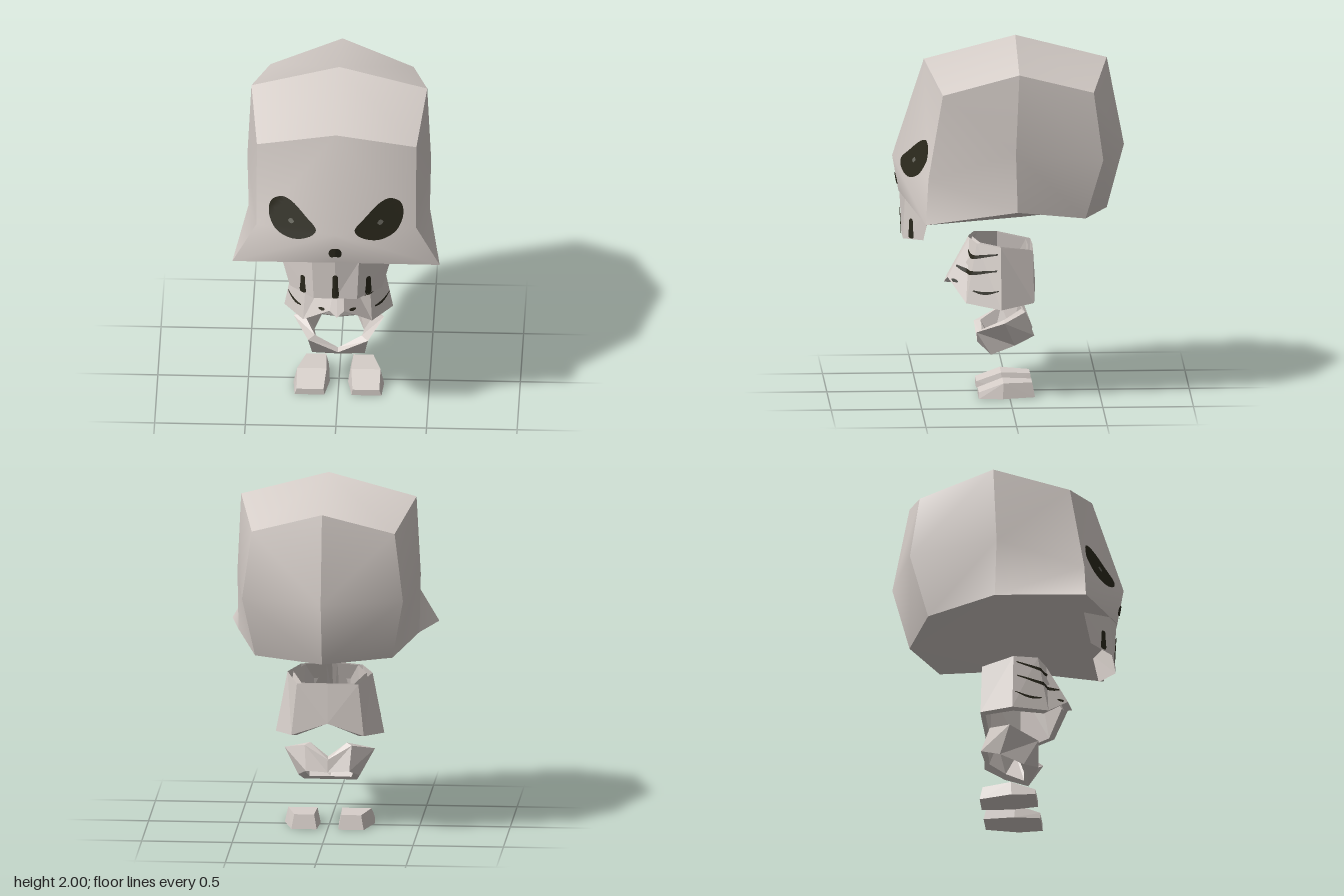
import * as THREE from 'three';
import { ConvexGeometry } from 'three/addons/geometries/ConvexGeometry.js';

const mat = (name, color) => {
  const m = new THREE.MeshStandardMaterial({ color, side: THREE.DoubleSide });
  m.name = name;
  return m;
};
const mirror = ([x, y, z]) => [-x, y, z];

// Sheet through rows of points; diagonals are symmetric about the middle column
function sheet(rows, { flip = false, flat = false } = {}) {
  const n = rows[0].length, index = [];
  for (let i = 0; i < rows.length - 1; i++) {
    for (let j = 0; j < n - 1; j++) {
      const a = i * n + j, b = a + 1, c = a + n, d = c + 1;
      if ((j < (n - 1) / 2) !== flip) index.push(a, c, d, a, d, b);
      else index.push(a, c, b, b, c, d);
    }
  }
  let g = new THREE.BufferGeometry();
  g.setAttribute('position', new THREE.Float32BufferAttribute(rows.flat(2), 3));
  g.setIndex(index);
  if (flat) g = g.toNonIndexed();
  g.computeVertexNormals();
  return g;
}

// Row from right corner over the middle to left corner
const across = (side, mid) => [mirror(side), mid, side];
// Closed ring from a half that runs from the front centre to the back centre
const ring = (half) => [...half, ...half.slice(0, -1).reverse().map(mirror)];
const shrink = (loop, s, dz, dy = 0) => loop.map(([x, y, z]) => [x * s, y + dy, dz + (z - dz) * s]);

export function createModel() {
  const model = new THREE.Group();
  const bone = mat('bone', 0xd6cec9);
  const dark = mat('darkHollow', 0x2a281c);
  const grey = mat('greyPupil', 0x66655c);
  const add = (name, geometry, material = bone, parent = model) => {
    const mesh = new THREE.Mesh(geometry, material);
    mesh.name = name;
    parent.add(mesh);
    return mesh;
  };

  // Skull corners: top, middle and bottom levels
  const top = { fc: [.44, 1.75, .38], f: [0, 1.87, .465], s: [.485, 1.87, -.04], bc: [.395, 1.75, -.455], b: [0, 1.87, -.545] };
  const mid = { fc: [.44, 1.28, .46], f: [0, 1.33, .64], s: [.507, 1.43, -.02], bc: [.445, 1.38, -.505], b: [0, 1.38, -.64] };
  const low = { fc: [.572, 1.05, .48], f: [0, 1.13, .605], s: [.5, 1.1, -.03], bc: [.38, 1.04, -.41], b: [0, 1.025, -.545] };
  const levels = [top, mid, low];
  const crown = [0, 2, -.04], base = [0, .975, -.08];

  const skull = new THREE.Group();
  skull.name = 'skull';
  model.add(skull);
  const face = add('face', sheet(levels.map((l) => across(l.fc, l.f)), { flip: true }), bone, skull);
  add('crownFront', sheet([across(top.fc, top.f), across(top.s, crown)]), bone, skull);
  add('crownBack', sheet([across(top.s, crown), across(top.bc, top.b)], { flip: true }), bone, skull);
  add('skullBase', sheet([across(low.fc, low.f), across(low.s, base), across(low.bc, low.b)], { flat: true }), bone, skull);
  for (const [side, m] of [['left', (p) => p], ['right', mirror]]) {
    add(side + 'Temple', sheet(levels.map((l) => [m(l.fc), m(l.s)])), bone, skull);
    add(side + 'RearSide', sheet(levels.map((l) => [m(l.s), m(l.bc)])), bone, skull);
    add(side + 'Back', sheet(levels.map((l) => [m(l.bc), m(l.b)])), bone, skull);
  }

  // Upper teeth plate
  const arc = (half) => [...half.slice(1).reverse().map(mirror), ...half];
  const teeth = add('teeth', sheet([
    arc([[0, 1.13, .6], [.13, 1.12, .575], [.31, 1.09, .44]]),
    arc([[0, .885, .587], [.12, .885, .585], [.255, .9, .48]]),
  ], { flat: true }));

  // Rib cage: outer wall, thick rim, inner wall
  const chestTop = ring([[0, .868, .22], [.17, .863, .18], [.235, .848, .05], [.17, .82, -.13], [0, .82, -.135]]);
  const chestLow = ring([[0, .615, .355], [.04, .648, .335], [.19, .53, .24], [.3, .51, .05], [.2, .53, -.135], [0, .6, -.15]]);
  chestTop.splice(1, 0, [.035, .868, .215]);
  chestTop.splice(-1, 0, [-.035, .868, .215]);
  const chest = add('ribCage', sheet([
    chestTop, chestLow, shrink(chestLow, .86, .05, -.005), shrink(chestTop, .86, .05),
  ], { flat: true }));

  // Pelvis: open bowl with a thick rim
  const hipTop = ring([[0, .275, .17], [.165, .36, .182], [.25, .425, .03], [.13, .465, -.09], [0, .39, -.12]]);
  const hipLow = ring([[0, .23, .11], [.145, .23, .1], [.17, .285, -.03], [.12, .33, -.14], [0, .32, -.13]]);
  const hipIn = shrink(hipTop, .78, .02, .012), hipInLow = shrink(hipLow, .8, .0, .02);
  add('pelvis', sheet([hipTop, hipLow, hipInLow, hipIn, hipTop], { flat: true }));

  // Feet: outlines at heel, instep and toe
  const footPoints = [
    [.06, 0, -.14], [.2, 0, -.14], [.075, .08, -.125], [.185, .08, -.125],
    [.05, 0, .03], [.25, 0, .04], [.068, .085, .035], [.23, .085, .035],
    [.075, 0, .172], [.24, 0, .172], [.08, .035, .172], [.228, .035, .172],
  ];
  for (const [name, s] of [['leftFoot', 1], ['rightFoot', -1]]) {
    add(name, new ConvexGeometry(footPoints.map(([x, y, z]) => new THREE.Vector3(s * x, y, z))));
  }

  // Painted details are laid on a part from the front
  model.updateMatrixWorld(true);
  const caster = new THREE.Raycaster();
  const lay = (target, lift) => ([x, y]) => {
    caster.set(new THREE.Vector3(x + 1e-4, y, 3), new THREE.Vector3(0, 0, -1));
    const hit = caster.intersectObject(target)[0];
    if (!hit) return [x, y, .3];
    const n = hit.face.normal.clone();
    if (n.z < 0) n.negate();
    return hit.point.addScaledVector(n, lift).toArray();
  };
  const spot = (name, target, outline, material = dark, lift = .005) => {
    const curve = new THREE.CatmullRomCurve3(outline.map(([x, y]) => new THREE.Vector3(x, y, 0)), true);
    const edge = curve.getPoints(40);
    const c = edge.reduce((s, p) => s.add(p), new THREE.Vector3()).divideScalar(edge.length);
    const rows = [];
    for (let i = 0; i <= 8; i++) {
      rows.push(edge.map((p) => c.clone().lerp(p, i / 8 + 1e-3 * (i === 0))).map((p) => lay(target, lift)([p.x, p.y])));
    }
    add(name, sheet(rows), material);
  };
  const stripe = (name, target, points, half) => {
    const line = new THREE.CatmullRomCurve3(points.map(([x, y]) => new THREE.Vector3(x, y, 0))).getPoints(20);
    const rows = [half, -half].map((h) => line.map((p, i) =>
      lay(target, .005)([p.x, p.y + h * (.35 + .65 * Math.sin(Math.PI * i / 20))])));
    add(name, sheet(rows), dark);
  };

  const eye = [[.105, 1.335], [.13, 1.295], [.235, 1.256], [.33, 1.285], [.37, 1.37], [.355, 1.44], [.3, 1.47], [.245, 1.458], [.16, 1.39]];
  const pupil = [[.227, 1.35], [.243, 1.336], [.26, 1.35], [.243, 1.365]];
  const slit = (x, y0, y1, w) => [[x - w, y0], [x + w, y0], [x + w, (y0 + y1) / 2], [x + w * .6, y1], [x - w * .6, y1], [x - w, (y0 + y1) / 2]];
  const ribs = [
    [[.065, .805], [.11, .786], [.17, .785], [.235, .81]],
    [[.05, .715], [.11, .697], [.18, .697], [.25, .72]],
    [[.2, .602], [.225, .594], [.25, .597], [.275, .612]],
    [[.065, .642], [.08, .636], [.1, .632]],
  ];
  for (const [side, s] of [['left', 1], ['right', -1]]) {
    const flip = (pts) => pts.map(([x, y]) => [s * x, y]);
    spot(side + 'EyeSocket', face, flip(eye));
    spot(side + 'Pupil', face, flip(pupil), grey, .008);
    spot(side + 'ToothGap', teeth, flip(slit(.178, .9, 1.005, .014)));
    ribs.forEach((r, i) => stripe(side + 'RibGap' + (i + 1), chest, flip(r), i < 2 ? .012 : .008));
  }
  spot('noseHole', face, [[-.035, 1.19], [-.022, 1.17], [0, 1.176], [.022, 1.17], [.035, 1.19], [.025, 1.225], [0, 1.235], [-.025, 1.225]]);
  spot('middleToothGap', teeth, slit(0, .892, 1.04, .015));

  return model;
}
